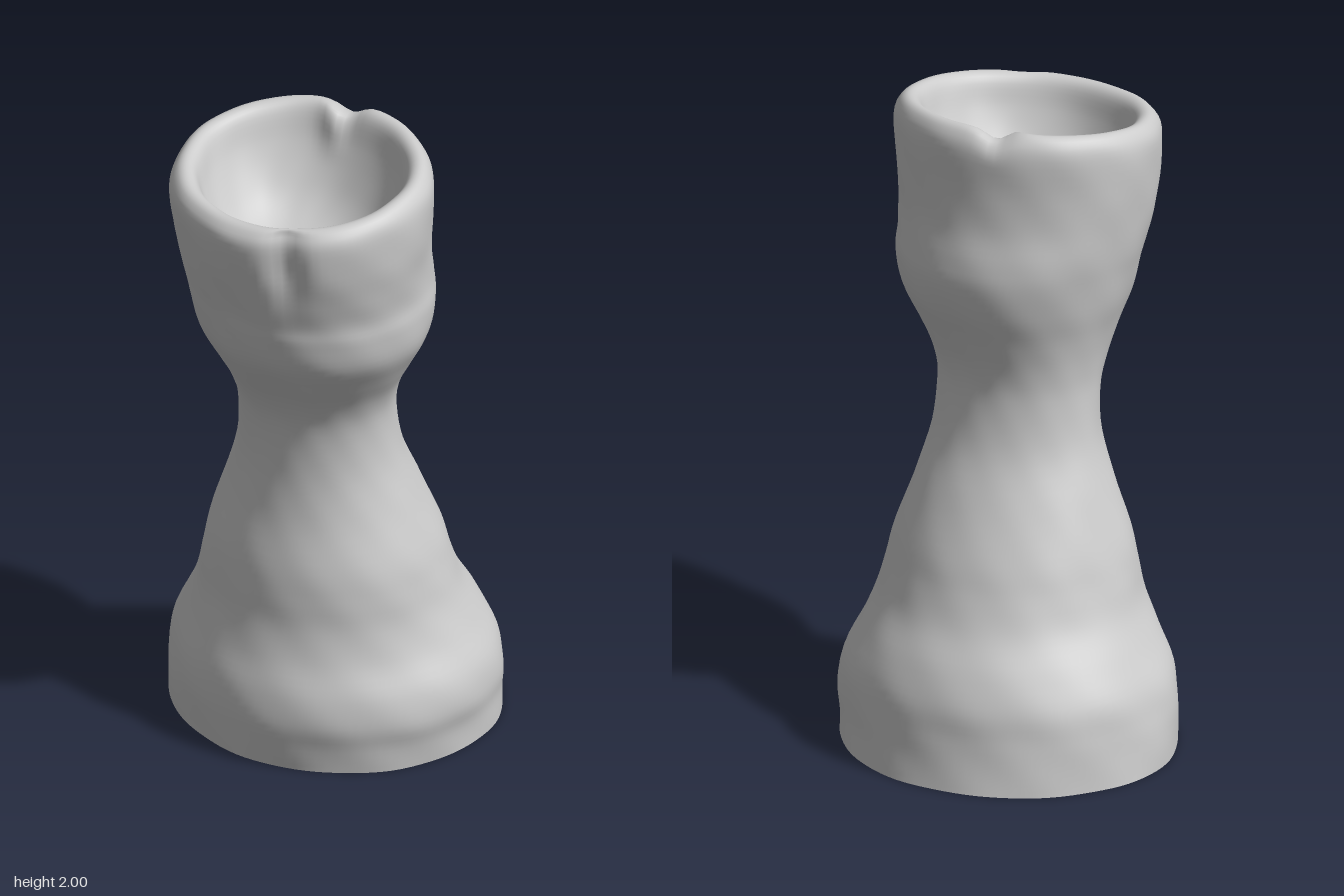
import * as THREE from 'three';

// Hand-shaped rings: height, left x, right x, back z, front z
const OUTSIDE = [
  [0, -0.535, 0.51, -0.555, 0.415],
  [0.08, -0.53, 0.518, -0.541, 0.427],
  [0.16, -0.522, 0.533, -0.53, 0.434],
  [0.25, -0.503, 0.518, -0.515, 0.424],
  [0.35, -0.448, 0.468, -0.47, 0.395],
  [0.45, -0.392, 0.435, -0.405, 0.373],
  [0.55, -0.362, 0.42, -0.36, 0.365],
  [0.65, -0.333, 0.402, -0.322, 0.35],
  [0.8, -0.275, 0.355, -0.25, 0.31],
  [0.95, -0.22, 0.318, -0.18, 0.288],
  [1.1, -0.205, 0.313, -0.146, 0.293],
  [1.2, -0.212, 0.338, -0.15, 0.33],
  [1.3, -0.232, 0.395, -0.182, 0.396],
  [1.4, -0.26, 0.452, -0.222, 0.46],
  [1.5, -0.28, 0.47, -0.241, 0.489],
  [1.58, -0.295, 0.47, -0.233, 0.501],
  [1.68, -0.308, 0.486, -0.211, 0.522],
  [1.8, -0.318, 0.505, -0.205, 0.545],
  [1.93, -0.32, 0.51, -0.207, 0.56],
];
// Rim and bowl: height, inset from the outer wall
const BOWL = [[1.985, 0.02], [2.0, 0.05], [1.975, 0.08], [1.89, 0.108],
  [1.81, 0.145], [1.74, 0.19], [1.69, 0.245], [1.66, 0.31]];
const SEGMENTS = 96;
const STEPS = 120;

const bump = (value, centre, width) => Math.exp(-(((value - centre) / width) ** 2));
const { smoothstep } = THREE.MathUtils;

function bodyRings() {
  const rings = OUTSIDE.slice();
  const [, l, r, b, f] = OUTSIDE[OUTSIDE.length - 1];
  for (const [y, d] of BOWL) rings.push([y, l + d, r - d, b + d, f - d]);
  rings.push([1.65, 0.095, 0.096, 0.176, 0.177]);
  const xs = new THREE.CatmullRomCurve3(rings.map((p) => new THREE.Vector3(p[0], p[1], p[2])), false, 'catmullrom', 0.5);
  const zs = new THREE.CatmullRomCurve3(rings.map((p) => new THREE.Vector3(p[0], p[3], p[4])), false, 'catmullrom', 0.5);
  const rimStart = (OUTSIDE.length - 1) / (rings.length - 1);

  const result = [];
  for (let i = 0; i <= STEPS; i++) {
    const t = i / STEPS;
    const px = xs.getPoint(t);
    const pz = zs.getPoint(t);
    const h = px.x;
    const inside = smoothstep(t, rimStart + 0.02, rimStart + 0.09);
    const ring = [];
    for (let j = 0; j < SEGMENTS; j++) {
      const a = (j / SEGMENTS) * Math.PI * 2 - Math.PI;
      // Gentle unevenness of modelled clay
      let k = 1 + 0.005 * Math.sin(3 * a + h * 7) + 0.004 * Math.sin(7 * a - h * 13)
        + 0.002 * Math.sin(13 * a + h * 29);
      // Pressed groove on the front of the cup
      k -= 0.09 * (1 - inside) * bump(a, 0.63, 0.13) * smoothstep(h, 1.58, 1.85);
      // Fold on the inner back edge of the rim
      k -= 0.08 * inside * bump(a, -2.72, 0.12) * smoothstep(h, 1.82, 1.97);
      // Rim slopes down to the front and dips at the fold
      let rim = 1.954 - 0.044 * Math.cos(a) - 0.008 * Math.sin(a);
      rim -= 0.032 * bump(a, -2.83, 0.13) * smoothstep(h, 1.85, 1.98);
      const y = h > 1.5 ? 1.5 + (h - 1.5) * (rim - 1.5) / 0.5 : h;
      ring.push(new THREE.Vector3(
        (px.y + px.z) / 2 + k * Math.sin(a) * (px.z - px.y) / 2,
        y,
        (pz.y + pz.z) / 2 + k * Math.cos(a) * (pz.z - pz.y) / 2));
    }
    result.push(ring);
  }
  // Level the last ring so the bowl closes smoothly
  const floor = result[STEPS];
  const level = floor.reduce((sum, p) => sum + p.y, 0) / SEGMENTS;
  for (const p of floor) p.y = level;
  return result;
}

function loft(rings) {
  const index = [];
  for (let i = 0; i < rings.length - 1; i++) {
    for (let j = 0; j < SEGMENTS; j++) {
      const a = i * SEGMENTS + j;
      const b = i * SEGMENTS + (j + 1) % SEGMENTS;
      index.push(a, b, b + SEGMENTS, a, b + SEGMENTS, a + SEGMENTS);
    }
  }
  const geometry = new THREE.BufferGeometry().setFromPoints(rings.flat());
  geometry.setIndex(index);
  geometry.computeVertexNormals();
  return geometry;
}

export function createModel() {
  const group = new THREE.Group();
  group.name = 'clayTower';
  const material = new THREE.MeshStandardMaterial({ color: 0xcccccc });
  const rings = bodyRings();

  // Foot, waist, cup and bowl in one continuous skin
  const body = new THREE.Mesh(loft(rings), material);
  body.name = 'body';
  group.add(body);

  // Flat underside, facing down
  const centre = rings[0].map(() => new THREE.Vector3(-0.01, 0, -0.07));
  const sole = new THREE.Mesh(loft([centre, rings[0]]), material);
  sole.name = 'underside';
  group.add(sole);
  return group;
}
